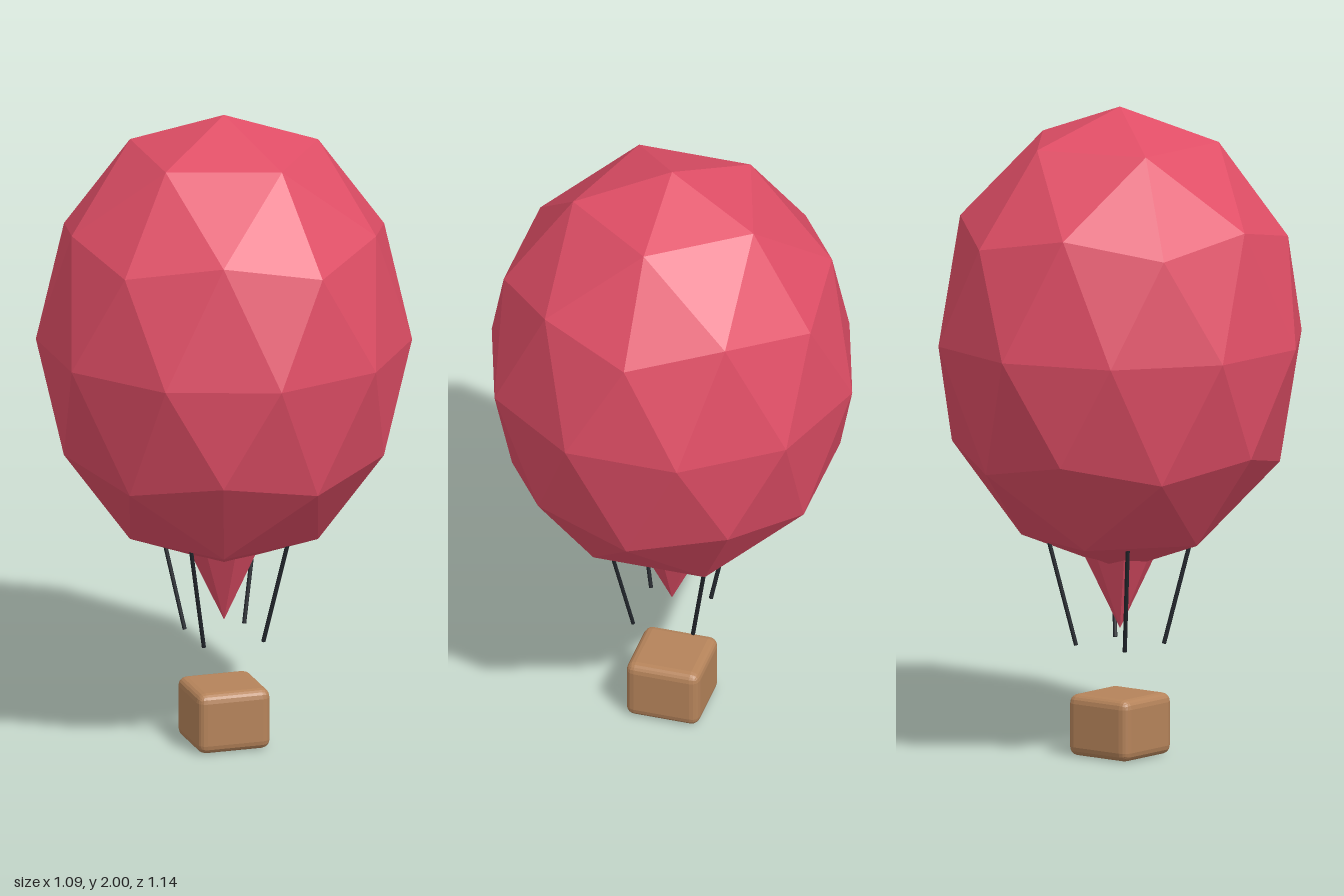
import * as THREE from 'three';
import { RoundedBoxGeometry } from 'three/addons/geometries/RoundedBoxGeometry.js';

function material(name, color, flatShading) {
  const m = new THREE.MeshStandardMaterial({ color, flatShading });
  m.name = name;
  return m;
}

export function createModel() {
  const model = new THREE.Group();
  model.name = 'hotAirBalloon';
  const red = material('envelope red', 0xe04e66, true);
  const tan = material('basket tan', 0xb5835a, true);
  const dark = material('rope black', 0x22262c, false);

  const add = (name, geometry, mat, x = 0, y = 0, z = 0) => {
    const mesh = new THREE.Mesh(geometry, mat);
    mesh.name = name;
    mesh.position.set(x, y, z);
    model.add(mesh);
    return mesh;
  };

  // Envelope: faceted sphere turned so a five-sided corner points up, stretched in height
  const envelope = new THREE.IcosahedronGeometry(1, 1);
  envelope.rotateX(-Math.atan((1 + Math.sqrt(5)) / 2));
  envelope.rotateY(Math.PI / 2);
  envelope.scale(0.572, 0.715, 0.572);
  add('envelope', envelope, red, 0, 1.285, 0);

  // Mouth: inverted cone whose wide end sits inside the envelope
  const mouth = new THREE.ConeGeometry(0.13, 0.27, 8);
  mouth.rotateX(Math.PI);
  add('mouth', mouth, red, 0, 0.525, 0);

  // Ropes: one per corner, leaning inward toward the basket
  const up = new THREE.Vector3(0, 1, 0);
  for (const sx of [-1, 1]) {
    for (const sz of [-1, 1]) {
      const low = new THREE.Vector3(sx * 0.095, 0.34, sz * 0.095);
      const high = new THREE.Vector3(sx * 0.157, 0.68, sz * 0.157);
      const dir = high.clone().sub(low);
      const rope = add('rope', new THREE.CylinderGeometry(0.0065, 0.0065, dir.length(), 6), dark);
      rope.position.copy(low).add(high).multiplyScalar(0.5);
      rope.quaternion.setFromUnitVectors(up, dir.normalize());
    }
  }

  // Basket
  add('basket', new RoundedBoxGeometry(0.232, 0.19, 0.232, 2, 0.028), tan, 0, 0.095, 0);

  return model;
}
